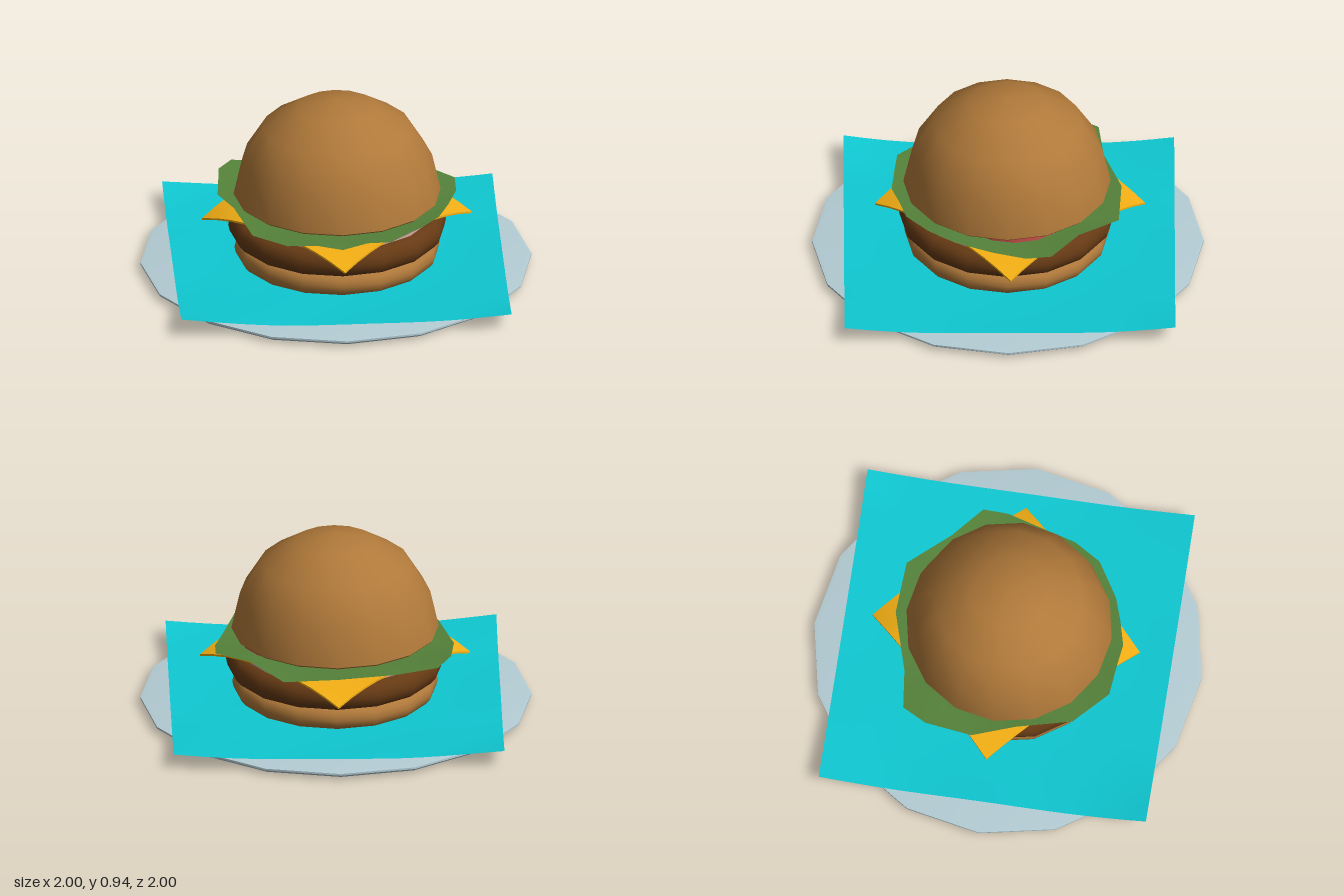
import * as THREE from 'three';
import { toCreasedNormals } from 'three/addons/utils/BufferGeometryUtils.js';

export function createModel() {
  const burger = new THREE.Group();
  burger.name = 'burgerOnPlate';

  function add(name, geometry, color, x = 0, y = 0, z = 0) {
    const material = new THREE.MeshStandardMaterial({ color, side: THREE.DoubleSide });
    const mesh = new THREE.Mesh(geometry, material);
    mesh.name = name;
    mesh.position.set(x, y, z);
    burger.add(mesh);
    return mesh;
  }

  // Sixteen-sided turned part, smooth except at sharp rims
  function turned(profile) {
    const points = profile.map(([r, y]) => new THREE.Vector2(r, y));
    return toCreasedNormals(new THREE.LatheGeometry(points, 16), 0.9);
  }

  // Disc with bulging sides
  function roundedDisc(radius, bottom, top, bulge) {
    const mid = (bottom + top) / 2, half = (top - bottom) / 2;
    const profile = [[0, bottom]];
    for (let i = 0; i <= 6; i++) {
      const a = -Math.PI / 2 + (i / 6) * Math.PI;
      profile.push([radius - bulge + bulge * Math.cos(a), mid + half * Math.sin(a)]);
    }
    profile.push([0, top]);
    return turned(profile);
  }

  // Shift the heights of a geometry by a rule of x and z
  function bend(geometry, rule) {
    const p = geometry.attributes.position;
    for (let i = 0; i < p.count; i++) p.setY(i, p.getY(i) + rule(p.getX(i), p.getZ(i)));
    geometry.computeVertexNormals();
    return geometry;
  }

  // Plate
  add('plate', turned([[0, 0], [0.95, 0], [0.98, 0.01], [1, 0.025], [1, 0.035], [0.98, 0.038], [0, 0.038]]), 0xb4ccd4);

  // Napkin: flat in the middle, wavy edges, raised corners
  const napkin = new THREE.PlaneGeometry(1.69, 1.69, 16, 16).rotateX(-Math.PI / 2);
  bend(napkin, (x, z) => {
    const edge = Math.max(Math.abs(x), Math.abs(z)) / 0.845;
    const corner = Math.abs(x * z) / 0.714;
    const lift = x < 0 && z > 0 ? 0.05 : 0.034;
    const wave = 0.008 * edge ** 4 * (1 + Math.sin(7 * x + 1) * Math.cos(6 * z));
    return 0.044 + lift * corner ** 2 + wave;
  });
  add('napkin', napkin, 0x0fc8d2, 0.005, 0, -0.007);

  // Lower bun and patty
  add('bottomBun', roundedDisc(0.525, 0.055, 0.175, 0.05), 0xb0793a, 0.005, 0, 0.005);
  add('patty', roundedDisc(0.557, 0.172, 0.315, 0.06), 0x663a14, 0.005, 0, 0.005);

  // Onion slice
  add('onion', new THREE.CylinderGeometry(0.5, 0.5, 0.016, 16), 0xdba3a3, 0.005, 0.323, 0);

  // Cheese slice: turned square with drooping corners
  const cheese = new THREE.BoxGeometry(0.976, 0.01, 0.976, 10, 1, 10).rotateY(Math.PI / 4);
  bend(cheese, (x, z) => -0.83 * Math.max(0, Math.max(Math.abs(x), Math.abs(z)) - 0.4) ** 2);
  add('cheese', toCreasedNormals(cheese, 0.6), 0xf2ae14, 0.005, 0.339, -0.01);

  // Lettuce leaf: outline points are x, z and height, lofted in from the ragged edge
  const outline = [
    [0, 0.595, 0.36], [0.13, 0.56, 0.378], [0.25, 0.52, 0.362], [0.42, 0.41, 0.392],
    [0.51, 0.27, 0.38], [0.57, 0.08, 0.36], [0.62, -0.09, 0.357], [0.62, -0.22, 0.37],
    [0.45, -0.36, 0.385], [0.28, -0.565, 0.358], [0, -0.58, 0.375], [-0.3, -0.49, 0.36],
    [-0.51, -0.465, 0.385], [-0.58, -0.34, 0.396], [-0.6, -0.1, 0.362], [-0.53, 0.12, 0.388],
    [-0.45, 0.4, 0.362], [-0.28, 0.565, 0.375], [-0.13, 0.58, 0.38],
  ];
  const scales = [1, 0.8, 0.55, 0], vertices = [], faces = [], n = outline.length;
  for (const s of scales) {
    for (const [x, z, y] of outline) vertices.push(x * s, 0.358 + (y - 0.358) * s ** 4, z * s);
  }
  for (let r = 0; r < scales.length - 1; r++) {
    for (let i = 0; i < n; i++) {
      const a = r * n + i, b = r * n + (i + 1) % n;
      faces.push(a, b, a + n);
      if (r < scales.length - 2) faces.push(b, b + n, a + n);
    }
  }
  const lettuce = new THREE.BufferGeometry();
  lettuce.setAttribute('position', new THREE.Float32BufferAttribute(vertices, 3));
  lettuce.setIndex(faces);
  lettuce.computeVertexNormals();
  add('lettuce', lettuce, 0x55823a);

  // Tomato slices side by side
  for (const side of [-1, 1]) {
    add('tomatoSlice', new THREE.CylinderGeometry(0.3, 0.3, 0.035, 16), 0xd0524c, 0.01 + side * 0.18, 0.383, -0.03);
  }

  // Domed top bun
  add('topBun', turned([[0, 0.405], [0.52, 0.405], [0.53, 0.415], [0.486, 0.61], [0.38, 0.78], [0.205, 0.89], [0, 0.935]]), 0xb0793a, 0.005, 0, 0.005);

  return burger;
}
